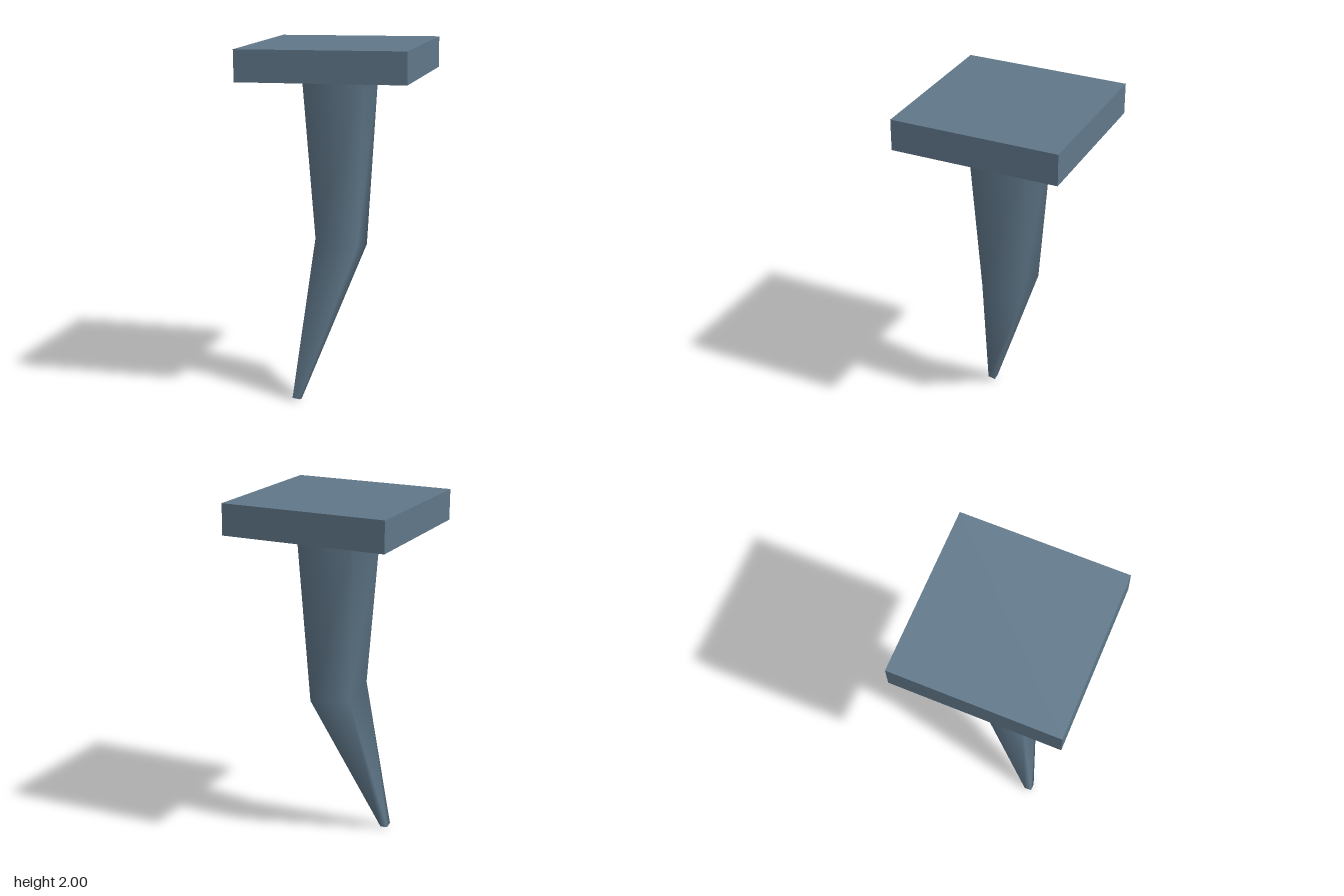
import * as THREE from 'three';

const TURN = 0.414; // twist of the square section about the vertical

// Spike sections from tip to head: centre, side of the square, and slope of the section in x and z
const SECTIONS = [
  { c: [-0.097, 0.012, 0.277], side: 0.042, sx: -0.02, sz: 0.25 },
  { c: [0.005, 0.885, 0], side: 0.238, sx: -0.05, sz: 0.22 },
  { c: [0, 1.85, 0], side: 0.348, sx: 0, sz: 0 },
];

// Four corners of a turned, sloping square
function ring({ c, side, sx, sz }) {
  const r = side / Math.SQRT2;
  return [0, 1, 2, 3].map((i) => {
    const a = Math.PI / 4 - TURN + (i * Math.PI) / 2;
    const x = r * Math.cos(a), z = r * Math.sin(a);
    return [c[0] + x, c[1] + sx * x + sz * z, c[2] + z];
  });
}

function indexed(points, index) {
  const g = new THREE.BufferGeometry();
  g.setAttribute('position', new THREE.Float32BufferAttribute(points.flat(), 3));
  g.setIndex(index);
  g.computeVertexNormals();
  return g;
}

export function createModel() {
  const model = new THREE.Group();
  model.name = 'bentNail';
  const steel = new THREE.MeshStandardMaterial({ color: 0x60788a });
  steel.name = 'blue grey steel';

  // Square head, tipped very slightly
  const headTilt = new THREE.Group();
  headTilt.name = 'headTilt';
  headTilt.position.y = 1.909;
  headTilt.rotation.set(0.0044, 0, 0.0097);
  const head = new THREE.Mesh(new THREE.BoxGeometry(0.924, 0.172, 0.924), steel);
  head.name = 'head';
  head.rotation.y = TURN;
  headTilt.add(head);
  model.add(headTilt);

  // Bent, tapering shaft with smooth sides
  const rings = SECTIONS.map(ring);
  const index = [];
  for (let s = 0; s < rings.length - 1; s++) {
    for (let i = 0; i < 4; i++) {
      const a = s * 4 + i, b = s * 4 + ((i + 1) % 4);
      index.push(a, a + 4, b, b, a + 4, b + 4);
    }
  }
  const shaft = new THREE.Mesh(indexed(rings.flat(), index), steel);
  shaft.name = 'shaft';
  model.add(shaft);

  // Blunt end of the shaft
  const tip = new THREE.Mesh(indexed(rings[0], [0, 1, 2, 0, 2, 3]), steel);
  tip.name = 'tip';
  model.add(tip);

  return model;
}
